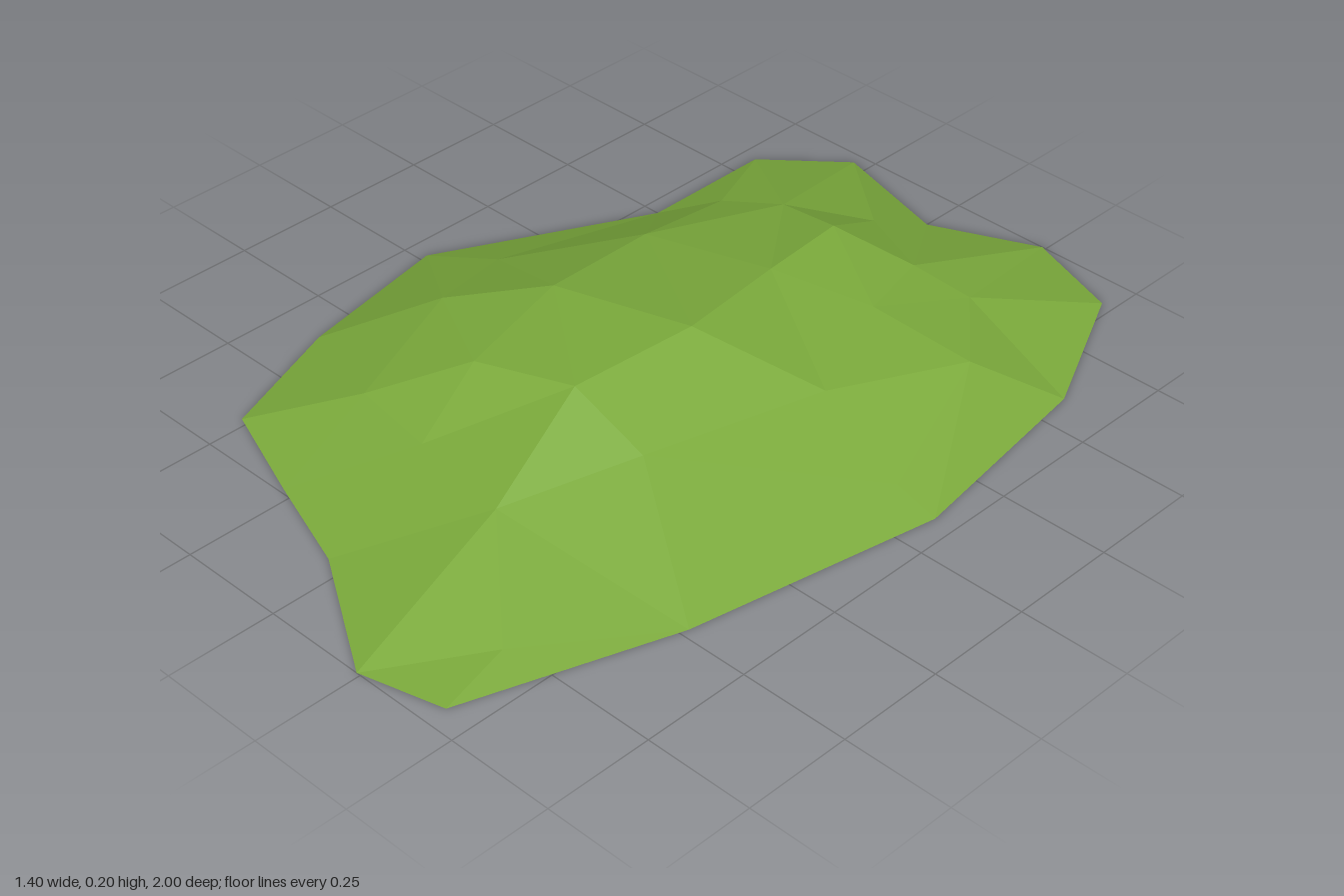
import * as THREE from 'three';

// Ground outline as [x, z], running round the foot of the mound
const outline = [
  [-0.46, -0.82], [-0.29, -0.97], [0, -0.89], [0.24, -1], [0.47, -0.92], [0.63, -0.59],
  [0.7, -0.1], [0.59, 0.48], [0.43, 0.95], [0.24, 1], [-0.05, 0.82], [-0.28, 0.74],
  [-0.52, 0.65], [-0.63, 0.35], [-0.7, -0.02], [-0.46, -0.5],
];

// Crests and hollows as [x, height, z]
const peaks = [
  [0.1, 0.2, -0.03], [0.07, 0.19, 0.27], [0.16, 0.1, 0.57], [-0.22, 0.185, 0.05],
  [-0.16, 0.165, 0.33], [-0.41, 0.13, 0.19], [0.04, 0.168, -0.33], [0.01, 0.155, -0.56],
  [0.18, 0.1, -0.63], [0.24, 0.12, -0.43], [0.36, 0.11, -0.15], [0.48, 0.085, -0.46],
  [0.32, 0.075, -0.65], [-0.18, 0.1, -0.61], [-0.33, 0.06, -0.57], [-0.5, 0.07, -0.05],
  [-0.11, 0.085, 0.52], [-0.33, 0.075, 0.48], [0.4, 0.02, 0.78], [0.6, 0.03, -0.1],
  [0.26, 0.12, 0.27], [-0.28, 0.13, -0.28], [-0.02, 0.075, -0.73],
];

function inside(x, z) {
  let hit = false;
  outline.forEach(([ax, az], i) => {
    const [bx, bz] = outline[(i + 1) % outline.length];
    if ((az > z) !== (bz > z) && x < ax + ((z - az) / (bz - az)) * (bx - ax)) hit = !hit;
  });
  return hit;
}

// Joins the points into facets: a triangle is kept if its circumcircle holds no other point
function facets(p) {
  const index = [];
  for (let i = 0; i < p.length; i++)
    for (let j = i + 1; j < p.length; j++)
      for (let k = j + 1; k < p.length; k++) {
        const [ax, , az] = p[i];
        const bx = p[j][0] - ax, bz = p[j][2] - az;
        const cx = p[k][0] - ax, cz = p[k][2] - az;
        const d = 2 * (bx * cz - bz * cx);
        if (Math.abs(d) < 1e-6) continue;
        const b2 = bx * bx + bz * bz, c2 = cx * cx + cz * cz;
        const ux = (cz * b2 - bz * c2) / d, uz = (bx * c2 - cx * b2) / d;
        const r2 = ux * ux + uz * uz;
        if (p.some(([x, , z]) => (x - ax - ux) ** 2 + (z - az - uz) ** 2 < r2 - 1e-9)) continue;
        if (!inside(ax + (bx + cx) / 3, az + (bz + cz) / 3)) continue;
        index.push(...(d < 0 ? [i, j, k] : [i, k, j])); // facing up
      }
  return index;
}

export function createModel() {
  const group = new THREE.Group();
  group.name = 'grassyMound';

  const grass = new THREE.MeshStandardMaterial({ color: 0x7cab3c, flatShading: true, side: THREE.DoubleSide });
  grass.name = 'grass green';

  // Open faceted shell of turf
  const points = [...outline.map(([x, z]) => [x, 0, z]), ...peaks];
  const geometry = new THREE.BufferGeometry();
  geometry.setAttribute('position', new THREE.Float32BufferAttribute(points.flat(), 3));
  geometry.setIndex(facets(points));
  const faceted = geometry.toNonIndexed();
  faceted.computeVertexNormals();

  const turf = new THREE.Mesh(faceted, grass);
  turf.name = 'turf';
  group.add(turf);
  return group;
}
